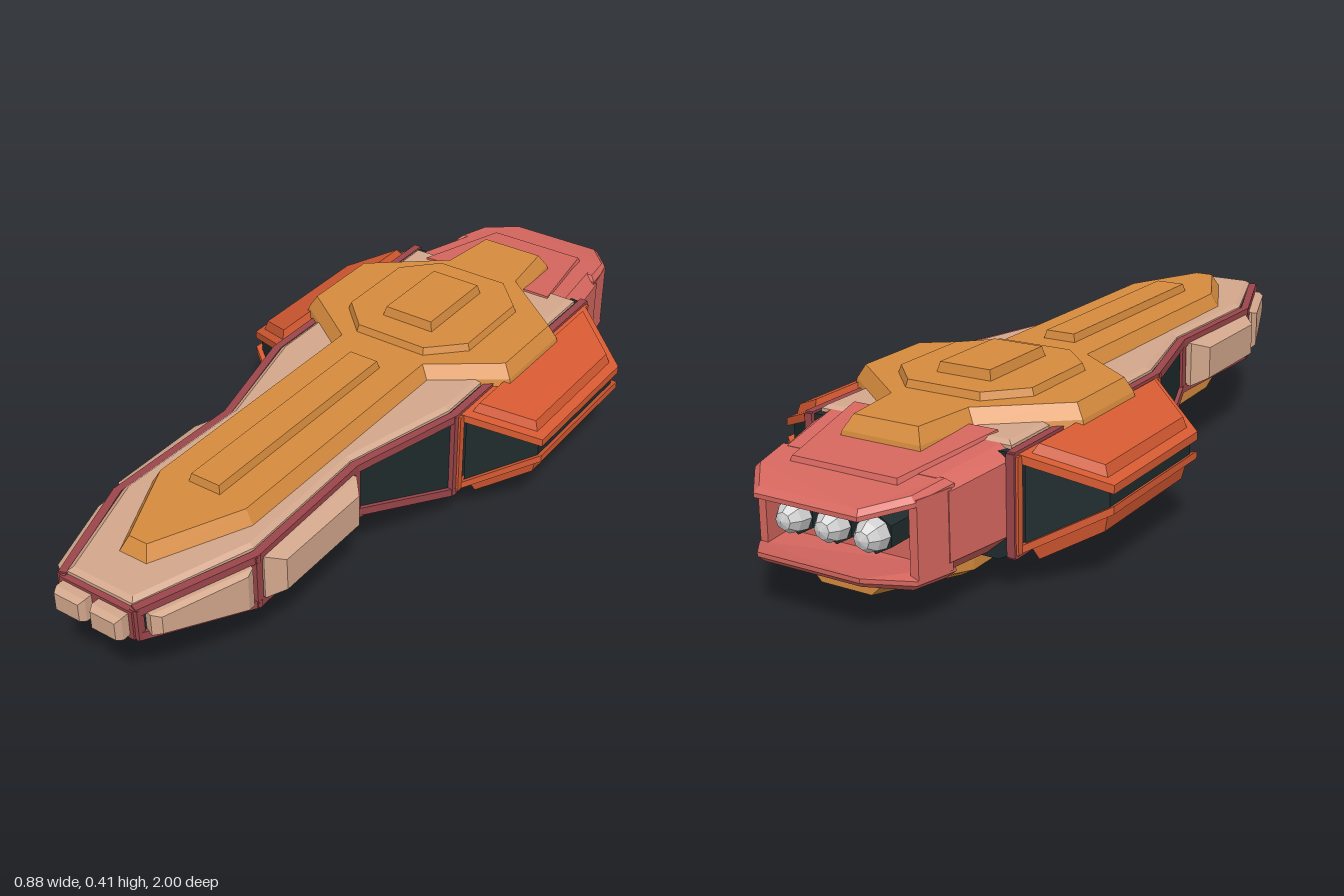
import * as THREE from 'three';

const mat = (name, color) => {
  const m = new THREE.MeshStandardMaterial({ color, flatShading: true });
  m.name = name;
  return m;
};

// Closed flat-shaded solid through rings of [x, y, z] points, capped at both ends
function solid(rings) {
  const R = rings.map(r => r.map(p => new THREE.Vector3(...p)));
  const n = R[0].length, pos = [];
  const center = r => r.reduce((s, p) => s.add(p), new THREE.Vector3()).divideScalar(n);
  const newell = r => r.reduce((s, p, i) => s.add(p.clone().cross(r[(i + 1) % n])), new THREE.Vector3());
  const axis = center(R[R.length - 1]).sub(center(R[0]));
  const flip = newell(R[0]).dot(axis) < 0;
  const tri = (a, b, c, rev) => (rev ? [a, c, b] : [a, b, c]).forEach(p => pos.push(p.x, p.y, p.z));
  for (let k = 0; k < R.length - 1; k++)
    for (let i = 0; i < n; i++) {
      const j = (i + 1) % n, A = R[k], B = R[k + 1];
      tri(A[i], A[j], B[j], flip);
      tri(A[i], B[j], B[i], flip);
    }
  [[R[0], -1], [R[R.length - 1], 1]].forEach(([r, s]) => {
    const nm = newell(r), a = [Math.abs(nm.x), Math.abs(nm.y), Math.abs(nm.z)];
    const m = a.indexOf(Math.max(...a));
    const flat = r.map(p => m === 0 ? new THREE.Vector2(p.y, p.z) : m === 1 ? new THREE.Vector2(p.x, p.z) : new THREE.Vector2(p.x, p.y));
    THREE.ShapeUtils.triangulateShape(flat, []).forEach(([i, j, k]) => {
      const t = r[j].clone().sub(r[i]).cross(r[k].clone().sub(r[i]));
      tri(r[i], r[j], r[k], t.dot(axis) * s < 0);
    });
  });
  const g = new THREE.BufferGeometry();
  g.setAttribute('position', new THREE.Float32BufferAttribute(pos, 3));
  g.computeVertexNormals();
  return g;
}

// Mirror a half outline (x > 0) into a closed one
const mirror = half => [...half, ...half.slice().reverse().map(([x, v]) => [-x, v])];

// Move a closed outline inward by d with mitred corners
function inset(pts, d) {
  const n = pts.length;
  const area = pts.reduce((s, p, i) => s + p[0] * pts[(i + 1) % n][1] - pts[(i + 1) % n][0] * p[1], 0);
  const s = Math.sign(area);
  const normal = (a, b) => {
    const l = Math.hypot(b[0] - a[0], b[1] - a[1]);
    return [-(b[1] - a[1]) / l * s, (b[0] - a[0]) / l * s];
  };
  return pts.map((p, i) => {
    const u = normal(pts[(i + n - 1) % n], p), v = normal(p, pts[(i + 1) % n]);
    const k = d / (1 + u[0] * v[0] + u[1] * v[1]);
    return [p[0] + (u[0] + v[0]) * k, p[1] + (u[1] + v[1]) * k];
  });
}

// Horizontal plate: outline in x,z with levels of [inset, height or height(x, z)]
const plate = (outline, levels) => solid(levels.map(([d, y]) =>
  inset(outline, d).map(([x, z]) => [x, typeof y === 'function' ? y(x, z) : y, z])));

// Symmetric body along z: stations of [z, half profile]
const loft = stations => solid(stations.map(([z, half]) => mirror(half).map(([x, y]) => [x, y, z])));

const rect = (x0, x1, z0, z1) => [[x0, z0], [x1, z0], [x1, z1], [x0, z1]];

export function createModel() {
  const model = new THREE.Group();
  model.name = 'spaceship';
  const orange = mat('ochre armour', 0xd68b3e), beige = mat('beige plating', 0xd3a78c);
  const maroon = mat('maroon frame', 0x9c464b), dark = mat('dark hull', 0x1f2b2d);
  const red = mat('red orange wing', 0xd65a32), pink = mat('coral tail', 0xd6675f);
  const grey = mat('engine grey', 0xd0d0d0);
  const add = (name, geo, material) => {
    const m = new THREE.Mesh(geo, material);
    m.name = name;
    model.add(m);
    return m;
  };
  const bar = (name, a, b, w, material) => {
    const A = new THREE.Vector3(...a), B = new THREE.Vector3(...b);
    const m = add(name, new THREE.BoxGeometry(w, w, A.distanceTo(B) + w * 0.6), material);
    m.position.copy(A).lerp(B, 0.5);
    m.lookAt(B);
  };

  // Dark core hull: z, half width, lower edge
  const hull = [[-0.65, 0.265, 0.095], [0, 0.265, 0.095], [0.3, 0.185, 0.19], [0.68, 0.195, 0.19], [0.95, 0.1, 0.25]];
  add('coreHull', loft(hull.map(([z, w, b]) => [z, [[w, 0.32], [w, b], [w * 0.86, b - 0.02]]])), dark);

  // Frame rails and posts along the flanks
  for (const s of [-1, 1]) {
    hull.forEach(([z, w, b], i) => {
      bar('framePost', [s * w, b, z], [s * w, 0.315, z], 0.02, maroon);
      if (!i) return;
      const [pz, pw, pb] = hull[i - 1];
      bar('upperRail', [s * pw, 0.315, pz], [s * w, 0.315, z], 0.02, maroon);
      bar('lowerRail', [s * pw, pb, pz], [s * w, b, z], 0.02, maroon);
    });
  }
  const nose = add('noseFrame', new THREE.BoxGeometry(0.2, 0.075, 0.03), maroon);
  nose.position.set(0, 0.2825, 0.95);

  // Beige deck and belly plates
  const deck = mirror([[0.09, 0.95], [0.183, 0.67], [0.173, 0.3], [0.25, 0], [0.25, -0.63]]);
  add('deckPlate', plate(deck, [[0, 0.315], [0, 0.328], [0.012, 0.336]]), beige);
  add('bellyPlate', loft([[-0.6, 0.17, 0.065], [0, 0.17, 0.065], [0.3, 0.165, 0.162], [0.68, 0.165, 0.165], [0.93, 0.09, 0.225]]
    .map(([z, w, y]) => [z, [[w, y + 0.02], [w, y]]])), beige);

  // Raised side pods, nose cheeks and bow blocks
  for (const s of [-1, 1]) {
    const pod = (x, z0, z1, y0, y1) => [[s * x, y0, z0], [s * x, y1, z0], [s * x, y1, z1], [s * x, y0, z1]];
    add('sidePod', solid([pod(0.18, 0.32, 0.665, 0.195, 0.31), pod(0.205, 0.32, 0.665, 0.195, 0.31), pod(0.24, 0.36, 0.63, 0.212, 0.295)]), beige);
    const cheek = (d, e) => {
      const a = [0.195 - 0.085 * e + d * 0.94, 0.7 + 0.24 * e], b = [0.115 + 0.08 * e + d * 0.94, 0.935 - 0.235 * e];
      const h = e * 0.08;
      return [[s * a[0], 0.203 + h, a[1] + d * 0.33], [s * a[0], 0.307 - h, a[1] + d * 0.33],
        [s * b[0], 0.307 - h, b[1] + d * 0.33], [s * b[0], 0.252 + h * 0.6, b[1] + d * 0.33]];
    };
    add('noseCheek', solid([cheek(-0.02, 0), cheek(0.012, 0), cheek(0.025, 0.08)]), beige);
    const block = (z, d) => [[0.01 + d, 0.255 + d], [0.09 - d, 0.255 + d], [0.09 - d, 0.313 - d], [0.01 + d, 0.313 - d]]
      .map(([x, y]) => [s * x, y, z]);
    add('bowBlock', solid([block(0.95, 0), block(0.985, 0), block(1, 0.007)]), beige);
  }

  // Ochre top armour with its stacked plates
  const armour = mirror([[0.04, 0.85], [0.145, 0.62], [0.145, -0.07], [0.31, -0.19], [0.31, -0.43], [0.125, -0.58], [0.105, -0.75]]);
  add('topArmour', plate(armour, [[0, 0.318], [0.004, 0.336], [0.024, 0.37]]), orange);
  const octagon = mirror([[0.1, -0.115], [0.185, -0.2], [0.185, -0.43], [0.1, -0.52]]);
  add('octagonPlate', plate(octagon, [[0, 0.365], [0.008, 0.388]]), orange);
  add('topHatch', plate(rect(-0.075, 0.075, -0.435, -0.195), [[0, 0.38], [0.008, 0.412]]), orange);
  add('spineRidge', plate(mirror([[0.045, 0.61], [0.045, -0.01]]), [[0, 0.365], [0.006, 0.39]]), orange);

  // Ochre keel: z, half width, top, bottom
  const keel = [[-0.88, 0.085, 0.09, 0.045], [-0.62, 0.145, 0.09, 0], [-0.1, 0.145, 0.09, 0.003], [0, 0.145, 0.092, 0.015],
    [0.3, 0.145, 0.18, 0.105], [0.34, 0.145, 0.18, 0.095], [0.55, 0.145, 0.182, 0.1], [0.68, 0.125, 0.19, 0.13], [0.91, 0.05, 0.222, 0.182]];
  add('keel', loft(keel.map(([z, w, t, b]) => [z, [[w * 0.93, t], [w, t - 0.02], [w, b + 0.02], [w * 0.77, b]]])), orange);

  // Side wings: sloped slabs with raised panels around a dark core
  for (const s of [-1, 1]) {
    const plan = [[s * 0.265, -0.65], [s * 0.44, -0.53], [s * 0.44, -0.13], [s * 0.265, -0.01]];
    const up = d => x => 0.32 - (Math.abs(x) - 0.27) * 0.45 + d;
    const low = d => x => 0.09 + (Math.abs(x) - 0.27) * 0.52 - d;
    add('wingCore', plate(plan, [[0.014, low(-0.005)], [0.014, up(-0.01)]]), dark);
    add('upperWing', plate(plan, [[0, up(-0.02)], [0, up(0)]]), red);
    add('upperWingPanel', plate(plan, [[0.02, up(-0.005)], [0.03, up(0.022)]]), red);
    add('lowerWing', plate(plan, [[0, low(0)], [0, low(-0.018)]]), red);
    add('lowerWingPanel', plate(plan, [[0.03, low(0.035)], [0.02, low(-0.005)]]), red);
    for (const z of [-0.015, -0.645]) bar('wingPost', [s * 0.272, 0.1, z], [s * 0.272, 0.31, z], 0.018, red);
  }

  // Coral tail: body, overhanging lips, side walls
  const tail = (z, w, t, m, b) => [z, [[w * 0.86, t], [w, t - 0.025], [w, m], [w * 0.78, b]]];
  add('tailBody', loft([tail(-0.62, 0.262, 0.33, 0.135, 0.085), tail(-0.82, 0.222, 0.308, 0.13, 0.085)]), pink);
  const lip = mirror([[0.222, -0.8], [0.203, -0.91], [0.13, -1]]);
  const lipTop = d => (x, z) => (z < -0.95 ? 0.285 : z < -0.85 ? 0.298 : 0.308) - d;
  const lipLow = d => (x, z) => (z < -0.95 ? 0.12 : z < -0.85 ? 0.095 : 0.09) + d;
  add('upperTailLip', plate(lip, [[0, lipTop(0.022)], [0, lipTop(0.012)], [0.012, lipTop(0)]]), pink);
  add('lowerTailLip', plate(lip, [[0.014, lipLow(0)], [0, lipLow(0.014)], [0, lipLow(0.024)]]), pink);
  for (const s of [-1, 1]) {
    const wall = [[s * 0.222, -0.81], [s * 0.204, -0.905], [s * 0.184, -0.905], [s * 0.2, -0.81]];
    add('tailWall', plate(wall, [[0, 0.11], [0, 0.29]]), pink);
  }
  const step = mirror([[0.2, -0.58], [0.14, -0.88]]);
  const stepTop = (x, z) => 0.342 + (z + 0.58) * 0.1;
  add('tailStep', plate(step, [[0, 0.29], [0.008, stepTop]]), pink);

  // Three engines in the tail recess
  for (const x of [-0.1, 0, 0.1]) {
    const housing = add('engineHousing', new THREE.CylinderGeometry(0.046, 0.046, 0.09, 6), dark);
    housing.rotation.x = Math.PI / 2;
    housing.position.set(x, 0.2, -0.86);
    const nozzle = add('engineNozzle', new THREE.SphereGeometry(0.039, 8, 6), grey);
    nozzle.rotation.x = Math.PI / 2;
    nozzle.scale.y = 1.35;
    nozzle.position.set(x, 0.2, -0.905);
  }
  return model;
}
